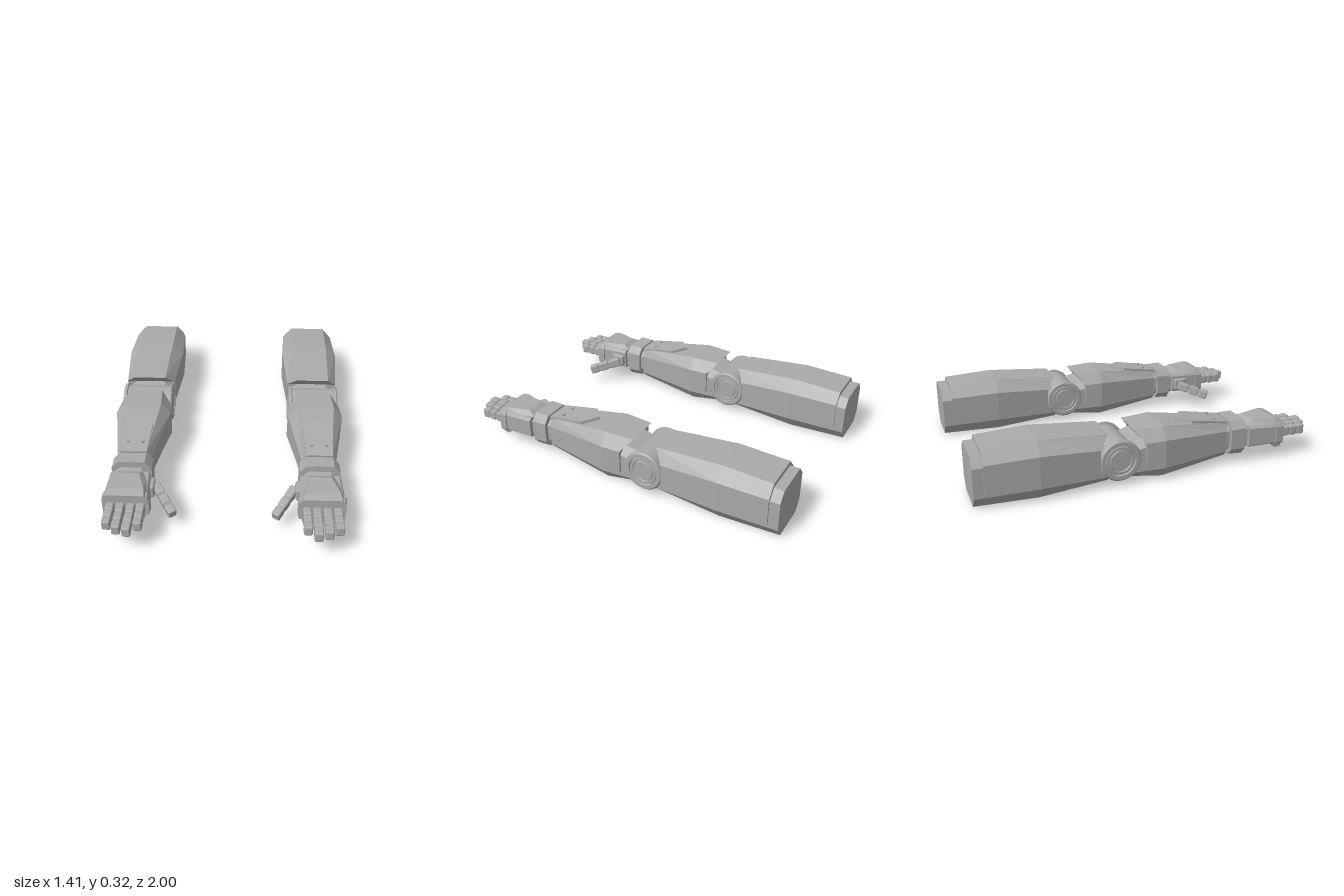
import * as THREE from 'three';
import { toCreasedNormals } from 'three/addons/utils/BufferGeometryUtils.js';
import { RoundedBoxGeometry } from 'three/addons/geometries/RoundedBoxGeometry.js';

const grey = new THREE.MeshStandardMaterial({ color: 0xaaaaaa });
grey.name = 'grey';

function add(parent, name, geometry, x = 0, y = 0, z = 0) {
  const mesh = new THREE.Mesh(geometry, grey);
  mesh.name = name;
  mesh.position.set(x, y, z);
  parent.add(mesh);
  return mesh;
}

// Faceted solid through sections ordered back to front.
// A section lists mirrored rows, bottom to top: [halfWidth, y, z].
function loft(sections) {
  const out = [];
  const quad = (a, b, c, d) => out.push(...a, ...b, ...c, ...a, ...c, ...d);
  const rings = sections.map(s => [
    ...s,
    ...s.map(([x, y, z]) => [-x, y, z]).reverse(),
  ]);
  const n = rings[0].length;
  for (let k = 0; k < rings.length - 1; k++) {
    for (let i = 0; i < n; i++) {
      const j = (i + 1) % n;
      quad(rings[k][i], rings[k][j], rings[k + 1][j], rings[k + 1][i]);
    }
  }
  const back = rings[0], front = rings[rings.length - 1];
  for (let i = 0; i < n / 2 - 1; i++) {
    quad(front[n - 1 - i], front[i], front[i + 1], front[n - 2 - i]);
    quad(back[i], back[n - 1 - i], back[n - 2 - i], back[i + 1]);
  }
  const g = new THREE.BufferGeometry();
  g.setAttribute('position', new THREE.Float32BufferAttribute(out, 3));
  g.computeVertexNormals();
  return g;
}

// Octagonal section: widths at bottom, side and top, then four heights
const octagon = (z, bottom, side, top, y0, y1, y2, y3) =>
  [[bottom, y0, z], [side, y1, z], [side, y2, z], [top, y3, z]];

// Armour section: the side and the top edge may sit at different z
const cover = (zSide, zTop, side, top, yLow, yHigh, yTop) =>
  [[side, yLow, zSide], [side, yHigh, zSide], [top, yTop, zTop]];

function addUpperArm(arm) {
  add(arm, 'upperArmCore', loft([
    octagon(-1, 0.11, 0.155, 0.11, 0.01, 0.07, 0.235, 0.287),
    octagon(-0.66, 0.115, 0.167, 0.1, 0.004, 0.075, 0.24, 0.29),
    octagon(-0.27, 0.09, 0.135, 0.09, 0.028, 0.065, 0.19, 0.23),
  ]));
  add(arm, 'upperArmCover', loft([
    cover(-0.945, -0.945, 0.168, 0.112, 0.095, 0.25, 0.312),
    cover(-0.66, -0.66, 0.18, 0.112, 0.085, 0.26, 0.327),
    cover(-0.33, -0.27, 0.155, 0.1, 0.095, 0.235, 0.3),
  ]));
}

function addElbow(arm) {
  // Turned hub with concentric grooves on both faces
  const half = [
    [0, 0.15], [0.058, 0.15], [0.061, 0.145], [0.064, 0.15], [0.08, 0.15],
    [0.083, 0.145], [0.086, 0.154], [0.108, 0.154], [0.116, 0.146],
    [0.116, 0.134], [0.105, 0.13],
  ];
  const profile = [
    ...half.map(([r, h]) => new THREE.Vector2(r, -h)),
    ...half.map(([r, h]) => new THREE.Vector2(r, h)).reverse(),
  ];
  const hub = new THREE.LatheGeometry(profile, 40).rotateZ(Math.PI / 2);
  add(arm, 'elbowJoint', toCreasedNormals(hub, 0.4), 0, 0.155, -0.215);
}

function addForearm(arm) {
  add(arm, 'forearmCore', loft([
    octagon(-0.15, 0.09, 0.135, 0.09, 0.03, 0.068, 0.19, 0.23),
    octagon(0.04, 0.11, 0.152, 0.1, 0.012, 0.072, 0.23, 0.28),
    octagon(0.45, 0.065, 0.088, 0.065, 0.055, 0.085, 0.2, 0.235),
  ]));
  add(arm, 'forearmCover', loft([
    cover(-0.07, -0.125, 0.155, 0.1, 0.1, 0.235, 0.3),
    cover(0.04, 0.04, 0.165, 0.11, 0.09, 0.24, 0.307),
    cover(0.445, 0.445, 0.096, 0.072, 0.12, 0.21, 0.256),
  ]));

  // Pointed plate that follows the slope of the forearm
  const plate = new THREE.Group();
  plate.name = 'forearmPlate';
  plate.position.set(0, 0.311, 0.155);
  plate.rotation.x = 0.16;
  arm.add(plate);
  const outline = new THREE.Shape([
    [0, 0], [0.085, 0.075], [0.075, 0.305], [-0.075, 0.305], [-0.085, 0.075],
  ].map(([x, y]) => new THREE.Vector2(x, y)));
  add(plate, 'pointedPlate', new THREE.ExtrudeGeometry(outline,
    { depth: 0.024, bevelEnabled: false }).rotateX(Math.PI / 2));
  for (const side of [-1, 1]) {
    add(plate, 'plateBolt', new THREE.CylinderGeometry(0.01, 0.01, 0.014, 12),
      side * 0.042, 0.004, 0.228);
  }
  add(arm, 'forearmStud', new THREE.CylinderGeometry(0.005, 0.005, 0.008, 8),
    0, 0.297, 0.125);
}

function addWrist(arm) {
  add(arm, 'wristNeck', loft([
    octagon(0.43, 0.06, 0.09, 0.06, 0.08, 0.11, 0.205, 0.235),
    octagon(0.6, 0.06, 0.09, 0.06, 0.085, 0.11, 0.2, 0.225),
  ]));
  add(arm, 'wristCuff', loft([
    octagon(0.468, 0.075, 0.112, 0.075, 0.06, 0.1, 0.22, 0.262),
    octagon(0.555, 0.075, 0.112, 0.075, 0.055, 0.098, 0.22, 0.264),
  ]));
}

// A chain of rounded segments along +z with hinge pins between them
function addDigit(parent, name, lengths, width, height) {
  const digit = new THREE.Group();
  digit.name = name;
  parent.add(digit);
  let z = 0;
  lengths.forEach((length, i) => {
    add(digit, 'segment', new RoundedBoxGeometry(
      width, height, length - 0.008, 2, 0.009), 0, 0, z + length / 2);
    const pin = new THREE.CylinderGeometry(
      height * 0.4, height * 0.4, width * 0.85, 12).rotateZ(Math.PI / 2);
    if (i > 0) add(digit, 'hinge', pin, 0, 0, z);
    z += length;
  });
  return digit;
}

function addHand(arm, inward) {
  add(arm, 'palm', loft([
    octagon(0.582, 0.1, 0.112, 0.1, 0.098, 0.108, 0.21, 0.222),
    octagon(0.76, 0.11, 0.12, 0.11, 0.1, 0.11, 0.205, 0.22),
    octagon(0.79, 0.11, 0.12, 0.11, 0.1, 0.11, 0.2, 0.21),
  ]));
  add(arm, 'handBackPlate', loft([
    [[0.095, 0.2, 0.582], [0.07, 0.222, 0.582]],
    [[0.1, 0.21, 0.625], [0.055, 0.247, 0.625]],
    [[0.115, 0.21, 0.755], [0.095, 0.247, 0.755]],
    [[0.118, 0.2, 0.8], [0.102, 0.234, 0.8]],
  ]));
  add(arm, 'knuckleBar', loft([
    octagon(0.753, 0.12, 0.128, 0.115, 0.1, 0.11, 0.205, 0.225),
    octagon(0.8, 0.12, 0.125, 0.115, 0.1, 0.11, 0.205, 0.225),
  ]));
  add(arm, 'palmPad', loft([
    [[0.09, 0.098, 0.735], [0.1, 0.11, 0.735]],
    [[0.095, 0.065, 0.77], [0.105, 0.11, 0.77]],
    [[0.1, 0.075, 0.8], [0.11, 0.11, 0.8]],
  ]));

  // Four fingers, from little finger to index finger
  [[-0.081, 0.953], [-0.026, 0.985], [0.03, 1], [0.082, 0.955]].forEach(([x, tip]) => {
    const reach = tip - 0.79;
    const finger = addDigit(arm, 'finger',
      [reach * 0.4, reach * 0.3, reach * 0.3 + 0.004], 0.046, 0.058);
    finger.position.set(x * inward, 0.158, 0.79);
  });

  // Thumb on the inner side, pointing outward, forward and down
  add(arm, 'thumbBase', new RoundedBoxGeometry(0.045, 0.075, 0.09, 2, 0.012),
    inward * 0.115, 0.155, 0.635);
  const thumb = addDigit(arm, 'thumb', [0.085, 0.07, 0.065], 0.048, 0.056);
  thumb.position.set(inward * 0.135, 0.155, 0.61);
  thumb.quaternion.setFromUnitVectors(new THREE.Vector3(0, 0, 1),
    new THREE.Vector3(inward * 0.115, -0.062, 0.175).normalize());
}

export function createModel() {
  const model = new THREE.Group();
  model.name = 'mechanicalArms';
  for (const side of [-1, 1]) {
    const arm = new THREE.Group();
    arm.name = side > 0 ? 'leftArm' : 'rightArm';
    arm.position.x = side * 0.5235;
    addUpperArm(arm);
    addElbow(arm);
    addForearm(arm);
    addWrist(arm);
    addHand(arm, -side);
    model.add(arm);
  }
  return model;
}
